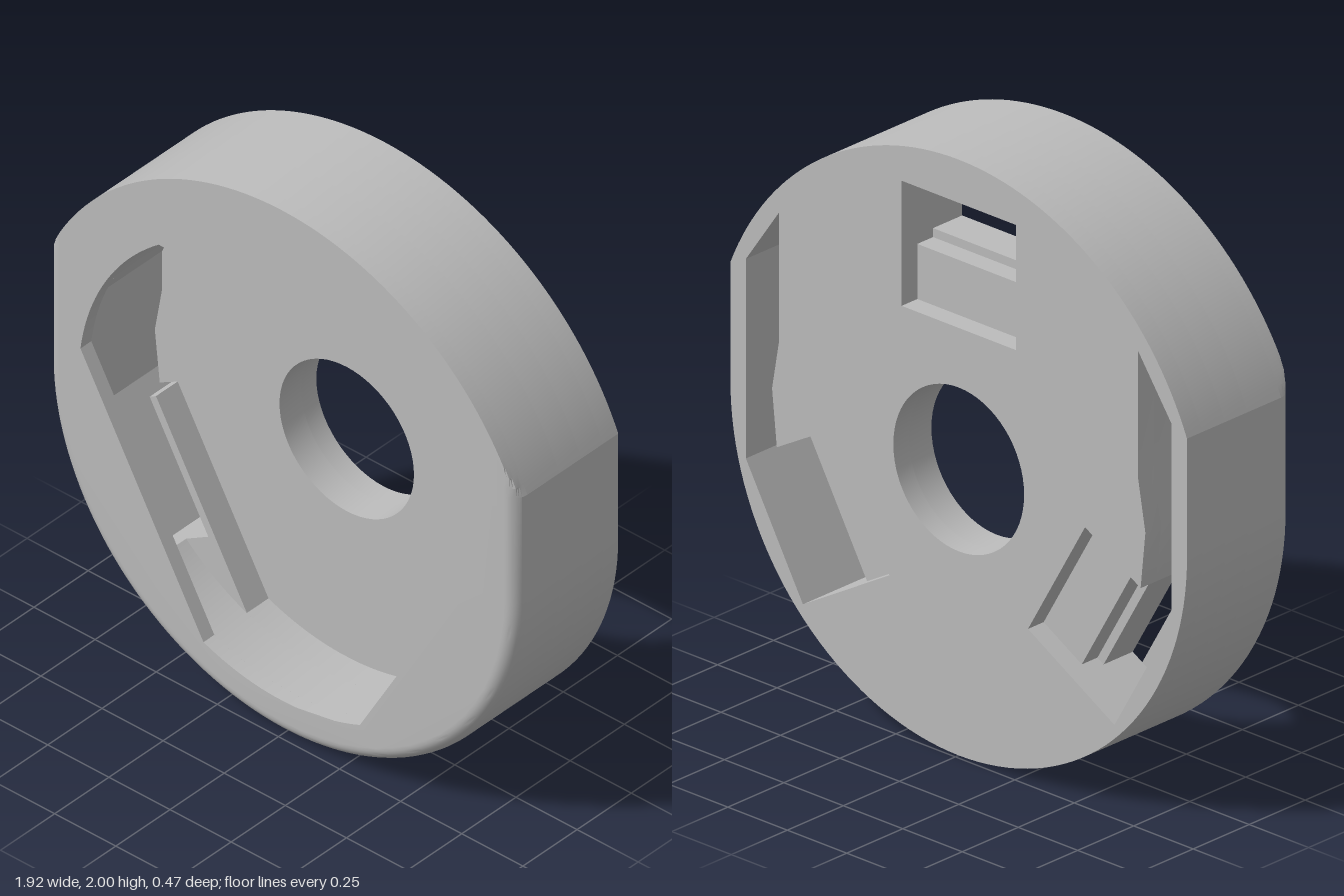
import * as THREE from 'three';
import { toCreasedNormals } from 'three/addons/utils/BufferGeometryUtils.js';

const CENTRE_Y = 0.96, BACK = -0.235;
const R_TOP = 1.04, R_LOW = 0.96;      // outer radii: upper arc, lower arc and flats
const R_CAVITY = 0.83, R_FLAT = 0.66;  // recess arcs, distance of its straight sides
const POCKET_IN = 0.475, POCKET_OUT = 0.895, POCKET_HALF = 0.24;
const LIP = 0.05;
const DEG = Math.PI / 180;

const arc = (r, from, to, n) => Array.from({ length: n + 1 }, (_, i) => {
  const a = from + (to - from) * i / n;
  return [r * Math.cos(a), r * Math.sin(a)];
});
const angleOf = ([x, y]) => Math.atan2(y, x);
const mirror = pts => pts.map(([x, y]) => [-x, y]).reverse();
const symmetric = half => [...half, ...mirror(half)];
const toPath = (pts, Type = THREE.Path) => new Type(pts.map(p => new THREE.Vector2(...p)));

// Point at a distance r along a direction, shifted sideways by t
const polar = (deg, r, t) => {
  const c = Math.cos(deg * DEG), s = Math.sin(deg * DEG);
  return [r * c - t * s, r * s + t * c];
};

// Outline of the disc: round top, two side flats, smaller round bottom
const cornerAngle = Math.acos(R_LOW / R_TOP);
const outer = [
  ...arc(R_TOP, cornerAngle, Math.PI - cornerAngle, 64),
  ...arc(R_LOW, Math.PI, 2 * Math.PI, 72),
];
const bore = arc(0.275, 0, 2 * Math.PI, 64).slice(0, -1);

// Three-sided recess with rounded corners (right half, top to bottom)
const bend = Math.acos(R_FLAT / R_CAVITY);
const recess = symmetric([
  ...arc(R_CAVITY, 90 * DEG - bend, -30 * DEG + bend, 20),
  ...arc(R_CAVITY, -30 * DEG - bend, -90 * DEG, 12),
].filter(p => p[0] > 1e-6));

// Side slot, which runs into the lower pocket
const slotMeet = [0.755, Math.sqrt(R_CAVITY ** 2 - 0.755 ** 2)];
const slotOuter = [[0.755, 0.63], [0.895, 0.43]];
const slotInner = [[0.765, -0.162], [0.785, 0.03], [0.755, 0.2]];
const pocketLow = t => polar(-30, POCKET_OUT, t * POCKET_HALF);

// Pocket openings in the back plate, starting at radius rIn
function backOpenings(rIn) {
  const top = symmetric([[POCKET_HALF, POCKET_OUT], [POCKET_HALF, rIn]]);
  const side = [
    ...slotOuter, pocketLow(1), pocketLow(-1),
    polar(-30, rIn, -POCKET_HALF), polar(-30, rIn, POCKET_HALF), ...slotInner,
  ];
  return [bore, top, side, mirror(side)];
}

// Recess joined with the pockets and slots
const steppedCavity = symmetric([
  [POCKET_HALF, POCKET_OUT], [POCKET_HALF, R_FLAT],
  ...arc(R_CAVITY, 90 * DEG - bend, angleOf(slotMeet), 12),
  ...slotOuter, pocketLow(1), pocketLow(-1),
  polar(-30, R_FLAT, -POCKET_HALF),
  ...arc(R_CAVITY, -30 * DEG - bend, -90 * DEG, 12),
].filter(p => p[0] > 1e-6));

// Round groove behind the lip, joined with the pockets and slots
const rGroove = Math.sqrt(R_CAVITY ** 2 - POCKET_HALF ** 2);
const grooveCavity = symmetric([
  [POCKET_HALF, POCKET_OUT],
  ...arc(R_CAVITY, angleOf([POCKET_HALF, rGroove]), angleOf(slotMeet), 20),
  ...slotOuter, pocketLow(1), pocketLow(-1),
  ...arc(R_CAVITY, angleOf(polar(-30, rGroove, -POCKET_HALF)), -90 * DEG, 20),
].filter(p => p[0] > 1e-6));

function extrude(holes, depth, steps = 1) {
  const shape = toPath(outer, THREE.Shape);
  shape.holes = holes.map(h => toPath(h));
  return new THREE.ExtrudeGeometry(shape, { depth, steps, bevelEnabled: false });
}

// Round the front edge along the flats and the lower arc
function roundFrontEdge(geometry) {
  const p = geometry.attributes.position;
  for (let i = 0; i < p.count; i++) {
    let x = p.getX(i), y = p.getY(i);
    const a = p.getZ(i) / LIP * Math.PI / 2;
    const limit = R_LOW - LIP * (1 - Math.cos(a));
    if (Math.hypot(x, y) > 0.93) {
      if (y <= 1e-6) {
        x *= limit / R_LOW;
        y *= limit / R_LOW;
      } else {
        x = THREE.MathUtils.clamp(x, -limit, limit);
      }
    }
    p.setXYZ(i, x, y, LIP * Math.sin(a));
  }
  return geometry;
}

export function createModel() {
  const housing = new THREE.Group();
  housing.name = 'discHousing';
  const grey = new THREE.MeshStandardMaterial({ color: 0xbcbcbc });
  grey.name = 'grey';

  const add = (name, geometry, z) => {
    const mesh = new THREE.Mesh(toCreasedNormals(geometry, 0.3), grey);
    mesh.name = name;
    mesh.position.set(0, CENTRE_Y, BACK + z);
    housing.add(mesh);
    return mesh;
  };

  // Layers from the back to the front
  add('backPlate', extrude(backOpenings(POCKET_IN), 0.07), 0);
  add('recessFloor', extrude(backOpenings(R_FLAT), 0.10), 0.07);
  add('recessStep', extrude([steppedCavity], 0.10), 0.17);
  add('grooveRing', extrude([grooveCavity], 0.15), 0.27);
  add('frontLip', roundFrontEdge(extrude([recess], LIP, 8)), 0.42);

  // Thin bars closing the pockets towards the recess
  for (const deg of [90, 210, 330]) {
    const bar = add('pocketBar', new THREE.BoxGeometry(0.03, 2 * POCKET_HALF, 0.13), 0.205);
    const [x, y] = polar(deg, R_FLAT + 0.015, 0);
    bar.position.x = x;
    bar.position.y += y;
    bar.rotation.z = deg * DEG;
  }
  return housing;
}
